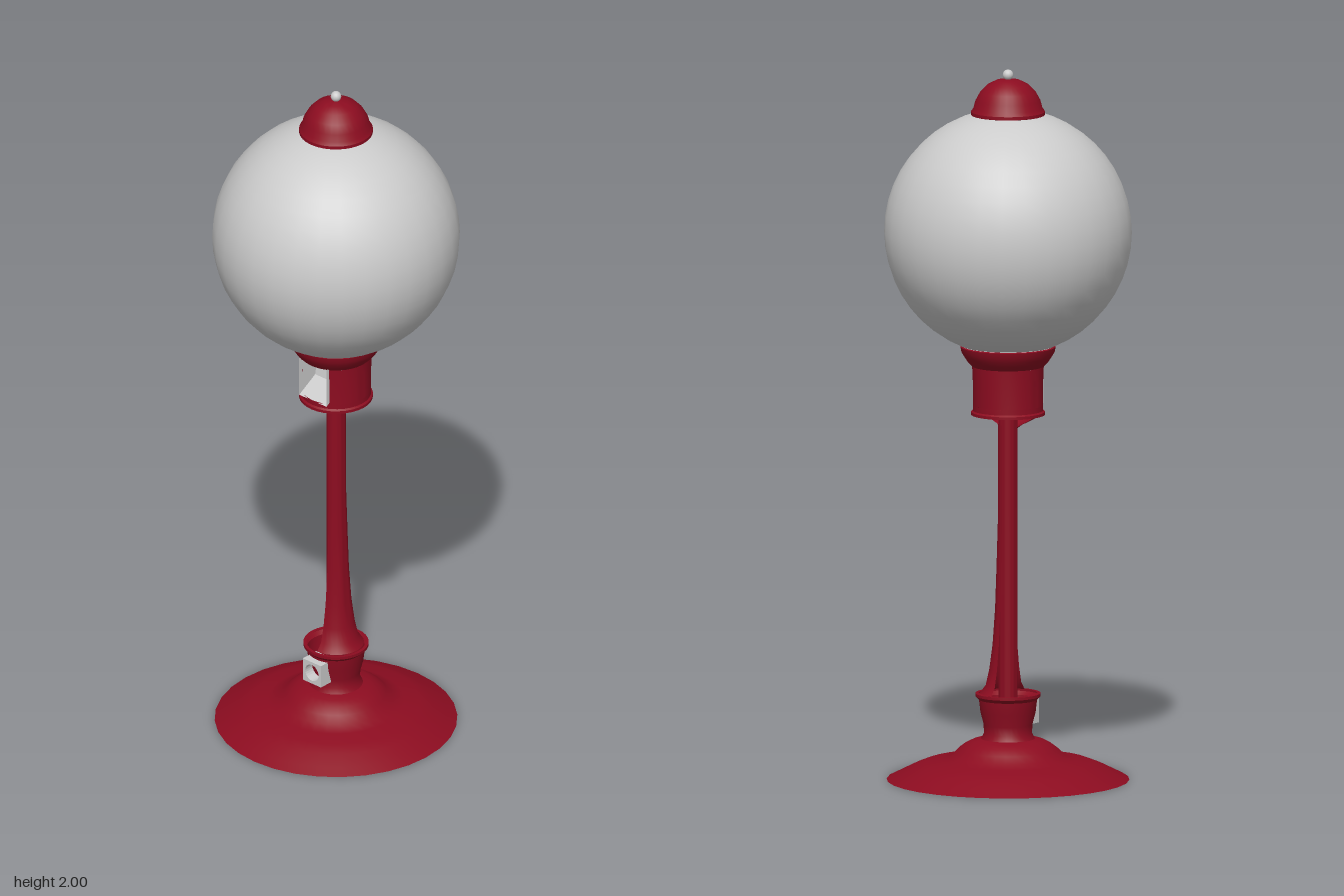
import * as THREE from 'three';
import { toCreasedNormals } from 'three/addons/utils/BufferGeometryUtils.js';

const red = new THREE.MeshStandardMaterial({ color: 0x8c0c20, side: THREE.DoubleSide });
const grey = new THREE.MeshStandardMaterial({ color: 0xcccccc, side: THREE.DoubleSide });

export function createModel() {
  const model = new THREE.Group();

  function add(name, geometry, material, x = 0, y = 0, z = 0) {
    const mesh = new THREE.Mesh(geometry, material);
    mesh.name = name;
    mesh.position.set(x, y, z);
    model.add(mesh);
    return mesh;
  }

  // Turned part from [radius, height] pairs, optionally only part of a turn
  function turned(name, pairs, material, start = 0, sweep = Math.PI * 2, segments = 32) {
    const points = pairs.map(([r, y]) => new THREE.Vector2(r, y));
    const geometry = new THREE.LatheGeometry(points, segments, start, sweep);
    return add(name, toCreasedNormals(geometry, 0.6), material);
  }

  // Stepped foot, open underneath
  turned('foot', [[0.338, 0], [0.31, 0.014], [0.27, 0.034], [0.235, 0.048], [0.19, 0.055],
    [0.158, 0.066], [0.14, 0.085], [0.12, 0.1], [0.1, 0.11], [0.075, 0.115]], red);

  // Flared collar on the foot
  turned('collar', [[0.075, 0.115], [0.067, 0.13], [0.068, 0.155], [0.077, 0.19],
    [0.081, 0.225], [0.091, 0.235], [0.091, 0.243], [0.082, 0.243]], red);

  // Column, with a flared skirt on its left half
  turned('column', [[0.027, 0.2], [0.027, 1.03]], red);
  turned('columnFlare', [[0.078, 0.243], [0.062, 0.265], [0.052, 0.31], [0.043, 0.38],
    [0.036, 0.48], [0.032, 0.6], [0.0285, 0.72], [0.0275, 1.0]], red, 0, Math.PI, 16);

  // Small outlet box with a round opening on the collar
  const outlet = new THREE.Shape([[-0.034, -0.034], [0.034, -0.034], [0.034, 0.034], [-0.034, 0.034]]
    .map(([x, y]) => new THREE.Vector2(x, y)));
  const hole = new THREE.Path();
  hole.absarc(0, 0, 0.025, 0, Math.PI * 2, true);
  outlet.holes.push(hole);
  add('outletFrame', new THREE.ExtrudeGeometry(outlet,
    { depth: 0.055, bevelEnabled: false, curveSegments: 12 }), grey, 0, 0.184, 0.045);
  add('outletBack', new THREE.CircleGeometry(0.026, 20), grey, 0, 0.184, 0.065);

  // Front half of the funnel below the housing
  turned('funnel', [[0.027, 0.99], [0.04, 1.0], [0.07, 1.015], [0.1, 1.033]],
    red, -Math.PI / 2, Math.PI, 16);

  // Housing: lower ring, wall with a window at the front, flared upper ring
  const gap = 0.53;
  turned('housingLowerRing', [[0.103, 1.028], [0.103, 1.036], [0.098, 1.04], [0.098, 1.055]], red);
  turned('housingWall', [[0.098, 1.055], [0.098, 1.12], [0.1, 1.165]], red, gap, Math.PI * 2 - 2 * gap);
  turned('housingUpperRing', [[0.1, 1.165], [0.113, 1.178], [0.122, 1.192], [0.13, 1.205],
    [0.133, 1.22], [0.12, 1.225]], red);
  turned('globeSeat', [[0.128, 1.222], [0.122, 1.232], [0.105, 1.232]], grey);

  // Recessed chute behind the window: sloped floor and tapered side cheeks
  const cheek = new THREE.Shape([[0.096, 1.052], [0.03, 1.09], [0.015, 1.17], [0.096, 1.17]]
    .map(([z, y]) => new THREE.Vector2(z, y)));
  for (const side of [-1, 1]) {
    const mesh = add(side < 0 ? 'chuteRightCheek' : 'chuteLeftCheek',
      new THREE.ShapeGeometry(cheek), grey, side * 0.051);
    mesh.rotation.y = -Math.PI / 2;
  }
  const floorLength = Math.hypot(0.066, 0.038);
  const floor = add('chuteFloor', new THREE.PlaneGeometry(0.102, floorLength), grey, 0, 1.071, 0.063);
  floor.rotation.x = -Math.PI / 2 + Math.atan2(0.038, 0.066);
  const back = add('chuteBack', new THREE.PlaneGeometry(0.102, 0.082), grey, 0, 1.13, 0.0225);
  back.rotation.x = Math.atan2(-0.015, 0.08);

  // Round globe
  add('globe', new THREE.SphereGeometry(0.345, 32, 24), grey, 0, 1.543, 0);

  // Domed lid and its knob
  turned('lid', [[0.09, 1.868], [0.103, 1.873], [0.103, 1.882], [0.096, 1.892], [0.091, 1.912],
    [0.078, 1.936], [0.058, 1.957], [0.033, 1.97], [0, 1.975]], red);
  add('knob', new THREE.SphereGeometry(0.015, 16, 12), grey, 0, 1.985, 0);

  return model;
}
